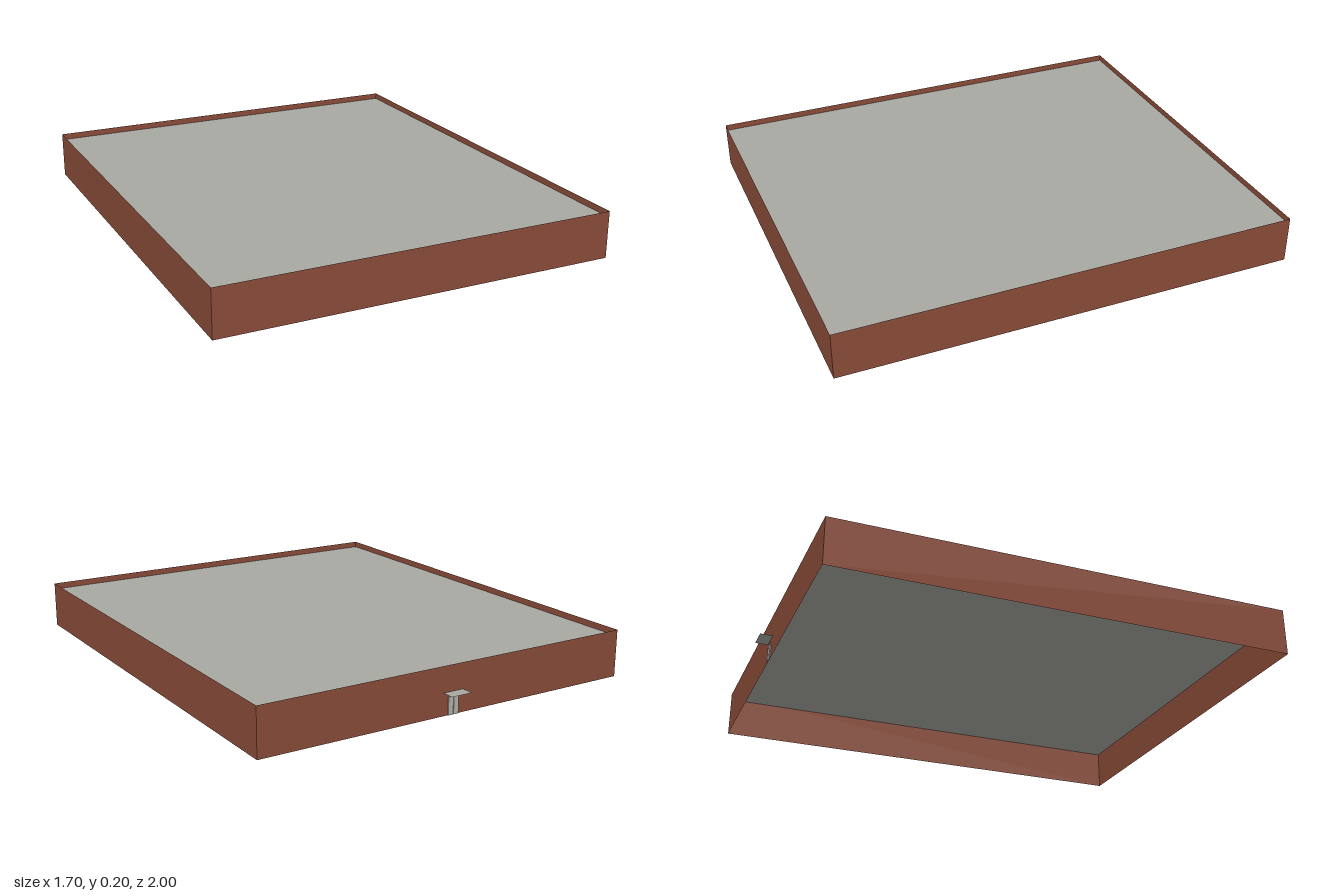
import * as THREE from 'three';

export function createModel() {
  const material = (name, color) => {
    const m = new THREE.MeshStandardMaterial({ color, side: THREE.DoubleSide });
    m.name = name;
    return m;
  };
  const brick = material('brick', 0x8a4c39);
  const concrete = material('concrete', 0xa8a8a2);
  const doorGrey = material('door grey', 0xb4b2ac);

  const W = 1.69, D = 1.94, H = 0.2;
  const building = new THREE.Group();
  building.name = 'building';

  const add = (name, geometry, mat, x, y, z) => {
    const mesh = new THREE.Mesh(geometry, mat);
    mesh.name = name;
    mesh.position.set(x, y, z);
    building.add(mesh);
    return mesh;
  };

  // Four sheet-thin outer walls, open underneath
  add('frontWall', new THREE.PlaneGeometry(W, H), brick, 0, H / 2, D / 2);
  add('backWall', new THREE.PlaneGeometry(W, H), brick, 0, H / 2, -D / 2).rotation.y = Math.PI;
  for (const s of [1, -1]) {
    const name = s > 0 ? 'leftWall' : 'rightWall';
    add(name, new THREE.PlaneGeometry(D, H), brick, s * W / 2, H / 2, 0).rotation.y = s * Math.PI / 2;
  }

  // Flat roof set below the parapet
  add('roof', new THREE.PlaneGeometry(W, D), concrete, 0, 0.173, 0).rotation.x = -Math.PI / 2;

  // Canopy over the back entrance
  const canopyDepth = 0.053;
  add('canopy', new THREE.PlaneGeometry(0.093, canopyDepth), concrete,
    -0.003, 0.093, -D / 2 - canopyDepth / 2).rotation.x = -Math.PI / 2;

  // Double door as two thin leaves
  for (const s of [1, -1]) {
    add(s > 0 ? 'leftDoorLeaf' : 'rightDoorLeaf', new THREE.BoxGeometry(0.022, 0.074, 0.004), doorGrey,
      -0.003 + s * 0.0125, 0.037, -D / 2 - 0.002);
  }

  // The block sits very slightly turned
  building.rotation.y = -0.0075;
  building.position.z = 0.024;

  const model = new THREE.Group();
  model.name = 'model';
  model.add(building);
  return model;
}
